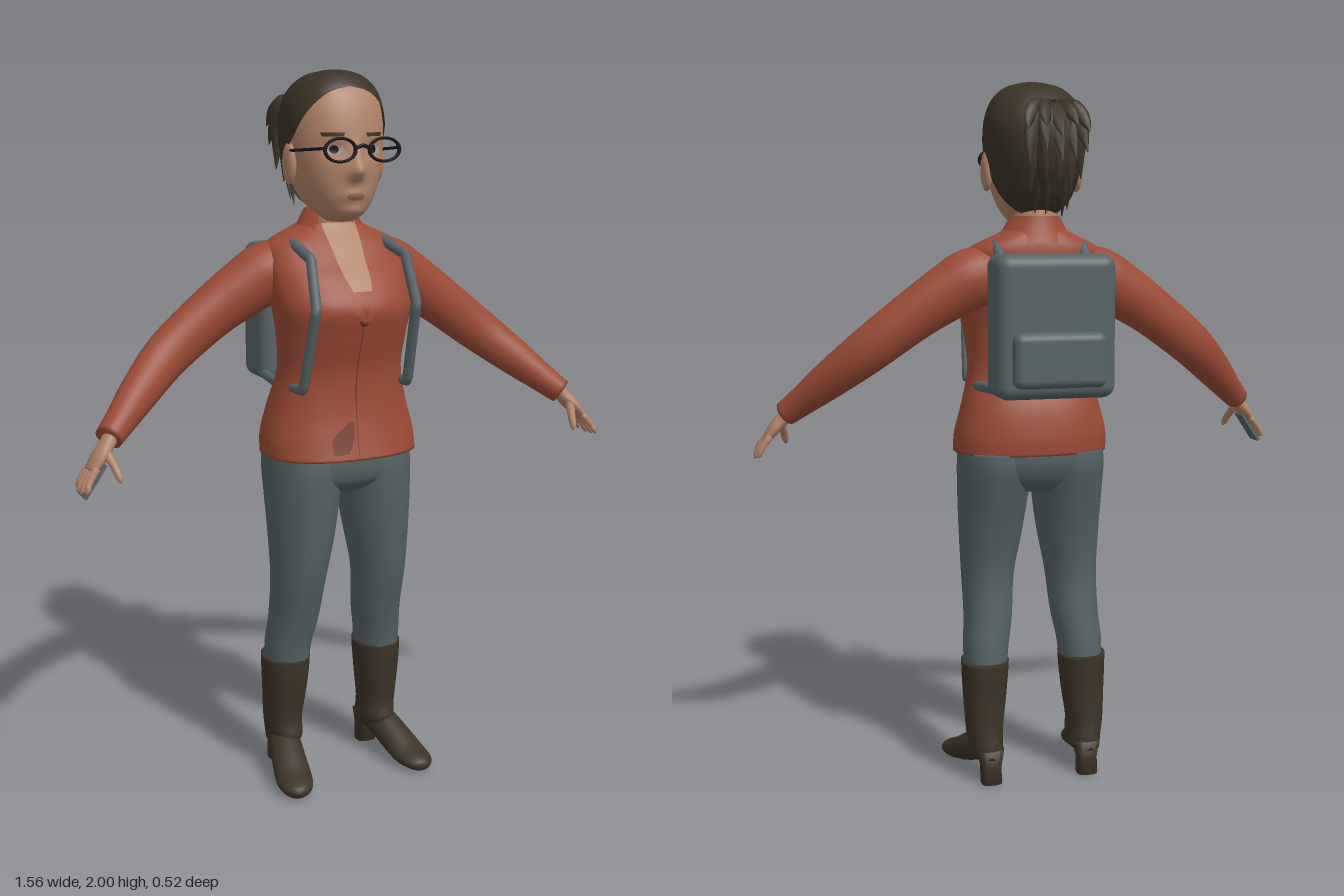
import * as THREE from 'three';
import { RoundedBoxGeometry } from 'three/addons/geometries/RoundedBoxGeometry.js';

const V = (x, y, z) => new THREE.Vector3(x, y, z);
const mat = (name, color) => {
  const m = new THREE.MeshStandardMaterial({ color, side: THREE.DoubleSide });
  m.name = name;
  return m;
};
const spow = (v, p) => Math.sign(v) * Math.abs(v) ** p;

// Smooth a short list of number rows into n + 1 rows
function resample(rows, n) {
  const out = [];
  for (let k = 0; k <= n; k++) {
    const f = (k / n) * (rows.length - 1), i = Math.min(Math.floor(f), rows.length - 2), t = f - i;
    const at = j => rows[Math.max(0, Math.min(rows.length - 1, j))];
    out.push(rows[0].map((_, c) => {
      const a = at(i - 1)[c], b = at(i)[c], d = at(i + 1)[c], e = at(i + 2)[c];
      return b + 0.5 * t * (d - a + t * (2 * a - 5 * b + 4 * d - e + t * (3 * (b - d) + e - a)));
    }));
  }
  return out;
}

// Interpolate a row by its first number
function rowAt(rows, y) {
  let i = 0;
  while (i < rows.length - 2 && rows[i + 1][0] < y) i++;
  const t = Math.max(0, Math.min(1, (y - rows[i][0]) / (rows[i + 1][0] - rows[i][0])));
  return rows[i].map((v, c) => v + (rows[i + 1][c] - v) * t);
}

// Surface through rings of points; solid rings are capped and turned outward
function skinRings(rings, solid = true) {
  const n = rings[0].length, pts = rings.flat(), idx = [];
  for (let i = 0; i < rings.length - 1; i++)
    for (let j = 0; j < (solid ? n : n - 1); j++) {
      const k = (j + 1) % n, a = i * n + j, b = i * n + k, c = b + n, d = a + n;
      idx.push(a, b, c, a, c, d);
    }
  if (solid) {
    const last = (rings.length - 1) * n;
    for (const [start, flip] of [[0, true], [last, false]]) {
      const c = pts.length, mid = V(0, 0, 0);
      for (let j = 0; j < n; j++) mid.addScaledVector(pts[start + j], 1 / n);
      pts.push(mid);
      for (let j = 0; j < n; j++) {
        const a = start + j, b = start + (j + 1) % n;
        flip ? idx.push(c, b, a) : idx.push(c, a, b);
      }
    }
    let vol = 0;
    for (let i = 0; i < idx.length; i += 3)
      vol += pts[idx[i]].dot(pts[idx[i + 1]].clone().cross(pts[idx[i + 2]]));
    if (vol < 0) idx.reverse();
  }
  const g = new THREE.BufferGeometry().setFromPoints(pts);
  g.setIndex(idx);
  g.computeVertexNormals();
  return g;
}

// Horizontal ring from [y, halfWidth, zBack, zFront], open by angle a at the front
function ring([y, rx, zb, zf], p, n, a = 0, closed = true, cx = 0) {
  return Array.from({ length: n }, (_, j) => {
    const t = a + (j / (closed ? n : n - 1)) * 2 * (Math.PI - a);
    return V(cx + rx * spow(Math.sin(t), 2 / p), y, (zb + zf) / 2 + (zf - zb) / 2 * spow(Math.cos(t), 2 / p));
  });
}
function frontZ(rows, p, x, y) {
  const [, rx, zb, zf] = rowAt(rows, y);
  return (zb + zf) / 2 + (zf - zb) / 2 * Math.max(0, 1 - Math.abs(x / rx) ** p) ** (1 / p);
}

// Limb along rows of [x, y, z, radiusAcross, radiusAlongRef]
function limb(rows, ref, n = 16, steps = 20) {
  const r = resample(rows, steps), P = i => V(...r[Math.max(0, Math.min(steps, i))].slice(0, 3));
  return skinRings(r.map((q, i) => {
    const t = P(i + 1).sub(P(i - 1)).normalize(), u = t.clone().cross(ref).normalize(), w = u.clone().cross(t);
    return Array.from({ length: n }, (_, j) => {
      const a = (j / n) * Math.PI * 2;
      return P(i).addScaledVector(u, Math.cos(a) * q[3]).addScaledVector(w, Math.sin(a) * q[4]);
    });
  }));
}

// Thin patch laid on a front surface; edges are rows of [y, xFrom, xTo]
function patch(edges, zAt, lift, cols = 8) {
  return skinRings(resample(edges, 14).map(([y, a, b]) =>
    Array.from({ length: cols + 1 }, (_, j) => {
      const x = a + (b - a) * j / cols;
      return V(x, y, zAt(x, y) + lift);
    })), false);
}
const ovalEdges = (cx, cy, rx, ry) => Array.from({ length: 9 }, (_, i) => {
  const a = -Math.PI / 2 + (i / 8) * Math.PI;
  return [cy + ry * Math.sin(a), cx - rx * Math.cos(a), cx + rx * Math.cos(a)];
});

export function createModel() {
  const root = new THREE.Group();
  const jacket = mat('jacket red', 0x9a4a35), fold = mat('jacket fold', 0x743526), trousers = mat('trousers grey', 0x546163);
  const pack = mat('pack grey', 0x566365), leather = mat('boot brown', 0x3b3327), hairMat = mat('hair brown', 0x3a3226);
  const skin = mat('skin', 0xb08369), black = mat('frame black', 0x17171a), eyeMat = mat('eye', 0xa39c94), lipMat = mat('lips', 0x8f6452);
  const add = (name, geo, m, pos) => {
    const o = new THREE.Mesh(geo, m);
    o.name = name;
    if (pos) o.position.set(...pos);
    root.add(o);
    return o;
  };
  const line = (pts, r) => {
    const path = new THREE.CurvePath();
    for (let i = 0; i < pts.length - 1; i++) path.add(new THREE.LineCurve3(V(...pts[i]), V(...pts[i + 1])));
    return new THREE.TubeGeometry(path, 60, r, 8);
  };

  // Jacket body, collar, lapels and neckline
  const torso = resample([[.965, .222, -.095, .228], [1.02, .22, -.095, .212], [1.1, .2, -.08, .195], [1.2, .178, -.04, .19],
    [1.3, .184, -.04, .215], [1.38, .195, -.055, .232], [1.45, .2, -.075, .19], [1.5, .2, -.08, .145],
    [1.545, .185, -.078, .108], [1.578, .12, -.068, .08], [1.6, .075, -.055, .068]], 50);
  const torsoZ = (x, y) => frontZ(torso, 2.4, x, y);
  add('jacketBody', skinRings(torso.map(r => ring(r, 2.4, 56))), jacket);
  add('collar', skinRings([[1.56, .115, -.08, .1], [1.6, .088, -.065, .085], [1.632, .07, -.058, .07]]
    .map(r => ring(r, 2, 40, .75, false)), false), jacket);
  add('necklineSkin', patch([[1.425, -.034, .034], [1.5, -.042, .042], [1.575, -.05, .05], [1.597, -.05, .05]], torsoZ, .006), skin);
  for (const s of [-1, 1]) {
    add('lapel', patch([[1.35, 0, .012], [1.41, .022, .07], [1.465, .04, .112], [1.475, .042, .085], [1.5, .046, .115],
      [1.55, .052, .1], [1.59, .054, .068]].map(([y, a, b]) => [y, s * a, s * b]), torsoZ, .011), jacket);
  }
  add('jacketButton', new THREE.SphereGeometry(.012, 12, 8), fold, [0, 1.345, .228]);
  add('frontSeam', patch([[.97, -.012, -.009], [1.33, -.002, .002]], torsoZ, .003, 2), fold);
  add('hemFold', patch([[.985, -.085, -.04], [1.03, -.08, -.02], [1.07, -.03, -.02]], torsoZ, .005), fold);

  // Neck and head
  add('neck', skinRings([[1.52, .07, -.05, .075], [1.58, .058, -.05, .062], [1.7, .06, -.06, .07]].map(r => ring(r, 2, 28))), skin);
  const head = resample([[1.602, .03, .02, .11], [1.62, .056, -.01, .152], [1.65, .084, -.05, .166], [1.69, .106, -.082, .173],
    [1.74, .121, -.105, .177], [1.8, .131, -.122, .176], [1.86, .134, -.125, .168], [1.91, .127, -.11, .155],
    [1.95, .107, -.078, .135], [1.978, .072, -.035, .105], [1.99, .03, .01, .075], [1.993, .004, .03, .05]], 60);
  const g2 = (x, y, cx, cy, sx, sy) => Math.exp(-(((x - cx) / sx) ** 2) - ((y - cy) / sy) ** 2);
  const bump = (x, y) => .032 * g2(x, y, 0, 1.738, .022, .022) + .014 * g2(x, y, 0, 1.775, .014, .03)
    + .008 * g2(x, y, 0, 1.675, .035, .016) + .007 * g2(x, y, 0, 1.635, .03, .015)
    - .012 * (g2(x, y, .058, 1.795, .032, .022) + g2(x, y, -.058, 1.795, .032, .022));
  const headZ = (x, y) => frontZ(head, 2.2, x, y) + bump(x, y);
  add('head', skinRings(head.map(r => ring(r, 2.2, 88).map(v => {
    if (v.z > .04) v.z += bump(v.x, v.y);
    return v;
  }))), skin);
  add('lips', patch(ovalEdges(0, 1.672, .026, .01), headZ, .003), lipMat);
  for (const s of [-1, 1]) {
    add('eye', patch(ovalEdges(s * .058, 1.795, .026, .012), headZ, .003), eyeMat);
    add('iris', patch(ovalEdges(s * .057, 1.795, .011, .011), headZ, .005), black);
    add('eyebrow', patch([[1.828, s * .035, s * .085], [1.838, s * .03, s * .09]], headZ, .003), hairMat);
    add('ear', new THREE.SphereGeometry(1, 18, 12), skin, [s * .131, 1.757, .038]).scale.set(.016, .057, .032);
    add('glassesRim', new THREE.TorusGeometry(.044, .0055, 8, 32), black, [s * .064, 1.795, .213]).scale.y = .68;
    add('glassesArm', line([[s * .107, 1.8, .212], [s * .137, 1.79, .05]], .004), black);
  }
  add('glassesBridge', line([[-.021, 1.8, .213], [0, 1.807, .216], [.021, 1.8, .213]], .005), black);

  // Swept-back hair that follows the hairline
  const hairline = [[1.62, -.035], [1.7, -.005], [1.76, .02], [1.8, .045], [1.83, .075], [1.87, .1], [1.92, .128], [1.95, .14], [1.962, .2]];
  const hairRows = head.filter(r => r[0] > 1.625).map(([y, rx, zb, zf]) => {
    const r = [y + .007 * Math.max(0, (y - 1.9) / .093), rx + .006, zb - .007, zf + .005];
    const u = (rowAt(hairline, y)[1] - (r[2] + r[3]) / 2) / ((r[3] - r[2]) / 2);
    return ring(r, 2.2, 72, Math.acos(Math.max(-1, Math.min(1, spow(u, 1.1)))), false);
  });
  add('hairCap', skinRings(hairRows, false), hairMat);

  // Ponytail: a core covered with layers of pointed locks
  add('hairTie', new THREE.TorusGeometry(.026, .011, 8, 20), hairMat, [0, 1.885, -.125]);
  add('ponytailCore', limb([[0, 1.87, -.105, .024, .024], [0, 1.905, -.15, .034, .03], [0, 1.87, -.195, .05, .035],
    [0, 1.77, -.195, .058, .035], [0, 1.68, -.175, .03, .018]], V(0, 0, 1)), hairMat);
  [[1.85, -.262, .085], [1.78, -.258, .08], [1.71, -.23, .07], [1.645, -.185, .045]].forEach(([tipY, tipZ, spread], k) => {
    for (let i = 0; i < 5; i++) {
      const f = i / 2 - 1, tz = tipZ + .035 * f * f, ty = tipY + .02 * Math.sin(i * 2.3 + k);
      add('ponytailLock', limb([[f * .012, 1.895, -.13, .012, .01], [f * spread * .5, 1.925 - k * .006, -.175, .017, .012],
        [f * spread * .85, (1.91 + ty) / 2 + .01, -.222 + .025 * f * f, .021, .012], [f * spread, ty, tz, .001, .001]], V(0, .3, 1), 6, 9), hairMat);
    }
  });

  // Trousers seat
  add('trousersSeat', skinRings(resample([[.855, .12, -.035, .14], [.89, .2, -.07, .185], [.94, .214, -.09, .197], [1.01, .212, -.088, .19]], 12)
    .map(r => ring(r, 2.3, 44))), trousers);

  for (const s of [-1, 1]) {
    const mir = rows => rows.map(r => [s * r[0], ...r.slice(1)]);
    // Sleeves
    add('sleeve', limb(mir([[.1, 1.475, .01, .07, .07], [.18, 1.462, 0, .085, .08], [.25, 1.425, -.002, .08, .072], [.35, 1.36, 0, .071, .06],
      [.48, 1.262, .018, .064, .054], [.58, 1.178, .075, .053, .048], [.64, 1.125, .118, .043, .042], [.69, 1.082, .153, .036, .038]]), V(0, 0, 1), 24, 32), jacket);
    // Hands
    add('palm', limb(mir([[.675, 1.1, .145, .02, .025], [.695, 1.07, .158, .02, .027], [.72, 1.042, .168, .018, .038], [.745, 1.008, .174, .012, .036]]), V(0, 0, 1)), skin);
    for (let k = 0; k < 4; k++) {
      const o = -.03 + .02 * k, d = Math.abs(k - 1.4) * .006;
      add('finger', limb(mir([[.737, 1.018, .173 + o, .01, .01], [.762, .985, .177 + o * 1.25, .009, .009],
        [.776 - d, .962 + d, .18 + o * 1.4, .008, .008], [.782 - d, .952 + d, .18 + o * 1.45, .003, .003]]), V(0, 0, 1), 8, 8), skin);
    }
    add('thumb', limb(mir([[.705, 1.055, .18, .013, .014], [.692, 1.02, .212, .011, .011], [.686, .995, .23, .009, .009], [.684, .984, .235, .003, .003]]), V(0, 0, 1), 8, 8), skin);
    // Trouser legs
    add('trouserLeg', skinRings(resample([[.34, .145, .062, -.048, .1], [.4, .142, .066, -.042, .108], [.48, .132, .07, -.03, .128], [.6, .127, .076, -.018, .16],
      [.72, .118, .09, -.035, .178], [.83, .112, .1, -.062, .19], [.92, .108, .106, -.085, .195], [.97, .106, .105, -.085, .19]], 30)
      .map(([y, cx, ...r]) => ring([y, ...r], 2.1, 30, 0, true, s * cx))), trousers);
    // Boots
    add('bootShaft', skinRings(resample([[.075, .148, .043, -.068, .05], [.11, .15, .05, -.065, .09], [.16, .153, .054, -.056, .08], [.24, .15, .062, -.052, .09],
      [.31, .148, .067, -.055, .1], [.355, .147, .069, -.056, .102]], 18).map(([y, cx, ...r]) => ring([y, ...r], 2.1, 28, 0, true, s * cx))), leather);
    add('bootFoot', limb(mir([[.145, .105, -.06, .025, .03], [.15, .102, -.02, .042, .042], [.162, .085, .05, .046, .045], [.175, .058, .11, .05, .041],
      [.187, .034, .17, .053, .031], [.196, .025, .215, .045, .024], [.201, .02, .238, .028, .017], [.203, .018, .248, .005, .005]]), V(0, 1, 0), 22, 28), leather);
    add('bootHeel', skinRings([[0, .03, -.068, -.012], [.05, .03, -.066, -.006], [.1, .04, -.068, .015]]
      .map(r => ring(r, 3, 20, 0, true, s * .146))), leather);
    // Pack straps over the shoulders and under the arms
    add('packStrap', line(mir([[.12, 1.49, -.11], [.125, 1.555, -.04], [.133, 1.552, .04], [.14, 1.515, .195], [.148, 1.39, .245],
      [.158, 1.165, .182], [.165, 1.158, .02], [.15, 1.162, -.12]]), .0145), pack);
  }

  // Device held in the right hand
  add('handheldDevice', new THREE.BoxGeometry(.009, .1, .056), pack, [-.742, .985, .178]).rotation.z = -.6;

  // Backpack
  add('packBody', new RoundedBoxGeometry(.335, .39, .15, 5, .035), pack, [0, 1.335, -.155]);
  add('packPocket', new RoundedBoxGeometry(.26, .15, .06, 5, .024), pack, [0, 1.248, -.233]);

  return root;
}
